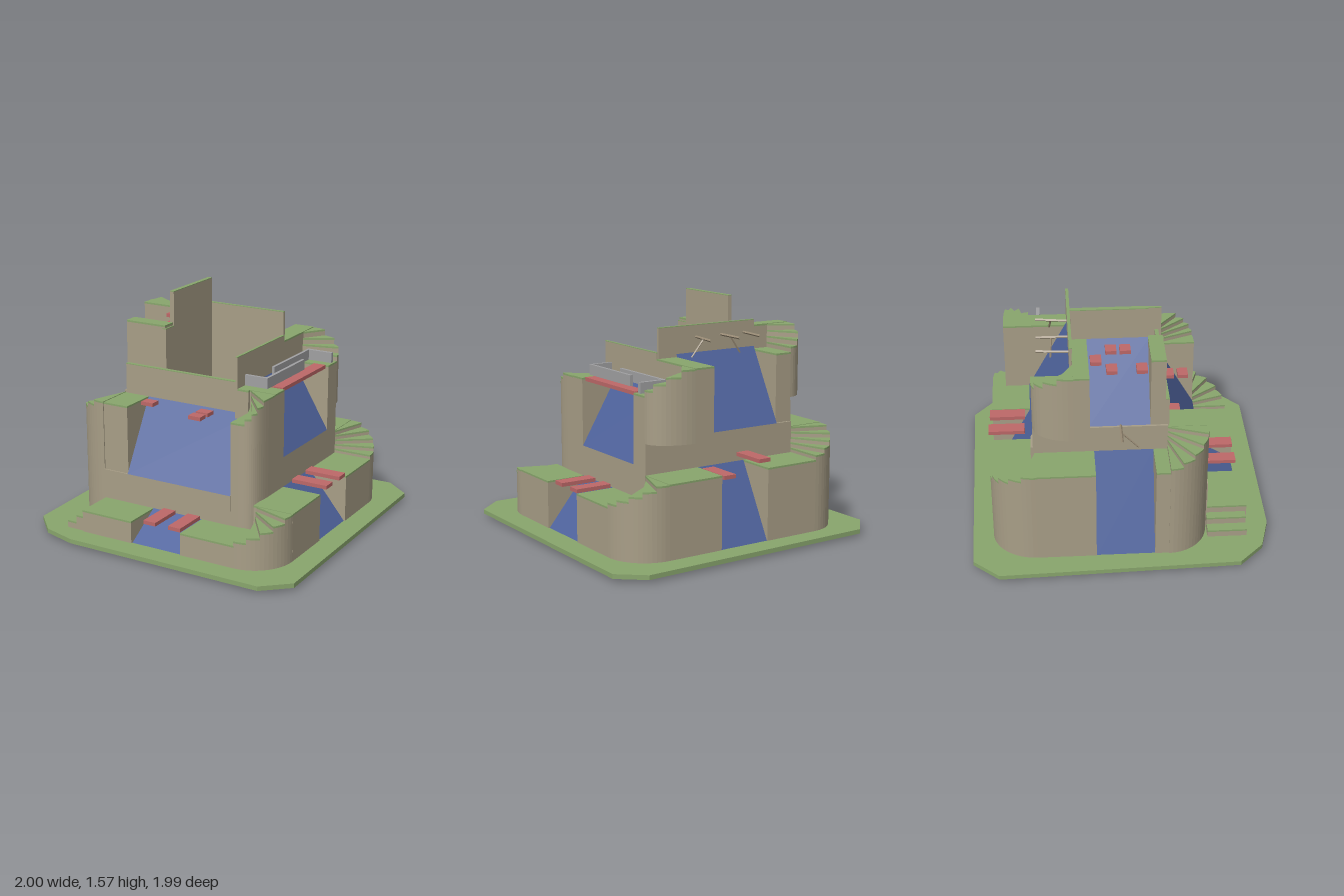
import * as THREE from 'three';

export function createModel() {
  const root = new THREE.Group();
  const mat = (color, side = THREE.FrontSide) => new THREE.MeshStandardMaterial({ color, side, flatShading: true });
  const stone = mat(0xa89e87, THREE.DoubleSide);
  const grass = mat(0x89a66d, THREE.DoubleSide);
  const blue = mat(0x4f639c);
  const red = mat(0xbd6868);
  const grey = mat(0xa0a0a2);
  const wood = mat(0x988a74);

  const add = (name, geo, material) => {
    const m = new THREE.Mesh(geo, material);
    m.name = name;
    root.add(m);
    return m;
  };
  const quads = (list) => {
    const v = [];
    for (const [a, b, c, d] of list) v.push(...a, ...b, ...c, ...a, ...c, ...d);
    const g = new THREE.BufferGeometry();
    g.setAttribute('position', new THREE.Float32BufferAttribute(v, 3));
    g.computeVertexNormals();
    return g;
  };
  // Box given by its limits
  const box = (name, material, x0, x1, y0, y1, z0, z1) => {
    const m = add(name, new THREE.BoxGeometry(x1 - x0, y1 - y0, z1 - z0), material);
    m.position.set((x0 + x1) / 2, (y0 + y1) / 2, (z0 + z1) / 2);
  };
  // Flat slab with an outline in x, z
  const slab = (name, pts, top, thick, material, hole) => {
    const toV = (p) => new THREE.Vector2(p[0], p[1]);
    const s = new THREE.Shape(pts.map(toV));
    if (hole) s.holes.push(new THREE.Path(hole.map(toV)));
    const g = new THREE.ExtrudeGeometry(s, { depth: thick, bevelEnabled: false });
    add(name, g.rotateX(Math.PI / 2), material).position.y = top;
  };
  // Hollow stone block with a grass top
  const block = (name, pts, bottom, top) => {
    const t = top - 0.012;
    add(name + 'Walls', quads(pts.map((p, i) => {
      const q = pts[(i + 1) % pts.length];
      return [[p[0], bottom, p[1]], [q[0], bottom, q[1]], [q[0], t, q[1]], [p[0], t, p[1]]];
    })), stone);
    slab(name + 'Grass', pts, top, 0.012, grass);
    if (bottom > 0.5) slab(name + 'Underside', pts, bottom + 0.01, 0.01, stone);
  };
  const walk = (name, x0, x1, z0, z1, top, bottom = 0.03) =>
    block(name, [[x0, z0], [x1, z0], [x1, z1], [x0, z1]], bottom, top);
  // Winding corner stair made of wedges; a power below 1 squares off the corner
  const fan = (name, cx, cz, rx, rz, a0, y0, y1, bottom = 0.03, n = 5, power = 1) => {
    const bend = (v) => Math.sign(v) * Math.abs(v) ** power;
    for (let i = 0; i < n; i++) {
      const pts = [[cx, cz]];
      for (let k = 0; k <= 3; k++) {
        const a = a0 - ((i + k / 3) / n) * Math.PI / 2;
        pts.push([cx + rx * bend(Math.cos(a)), cz + rz * bend(Math.sin(a))]);
      }
      block(name, pts, bottom, y0 + (y1 - y0) * (i + 0.9) / n);
    }
  };
  const H = Math.PI / 2;

  // Ground plate, open beneath the tower
  slab('groundPlate',
    [[-0.85, -0.97], [0.82, -1], [0.99, -0.86], [1, 0.84], [0.83, 0.99], [-0.56, 0.985], [-0.79, 0.92], [-0.95, 0.76], [-1, -0.8]],
    0.05, 0.03, grass,
    [[-0.56, 0.83], [0.58, 0.83], [0.76, 0.75], [0.835, 0.57], [0.835, -0.57], [0.75, -0.75], [0.57, -0.83],
      [-0.57, -0.83], [-0.75, -0.75], [-0.82, -0.55], [-0.82, 0.3], [-0.75, 0.48], [-0.56, 0.56]]);

  // Floors under the lower blocks, open below the slopes
  for (const [m, x0, x1, y, z0, z1] of [
    [grass, -0.56, -0.18, 0, 0.57, 0.83], [grass, 0.19, 0.57, 0, 0.57, 0.83],
    [grey, 0.18, 0.57, 0, -0.83, -0.57], [grey, -0.56, -0.18, 0, -0.83, -0.57],
    [grey, -0.82, -0.57, 0.02, -0.55, -0.17], [grey, -0.82, -0.57, 0.02, 0.21, 0.3],
  ]) box('floor', m, x0, x1, y, y + 0.015, z0, z1);

  // Entry steps
  walk('entryStep', -0.69, -0.62, 0.57, 0.83, 0.1);
  walk('entryStep', -0.62, -0.56, 0.57, 0.83, 0.15);

  // Lower walkway, climbing around the tower
  walk('lowerFrontWalk', -0.56, -0.18, 0.565, 0.84, 0.2);
  walk('lowerFrontWalk', 0.19, 0.58, 0.565, 0.84, 0.2);
  fan('lowerFrontRightStair', 0.575, 0.565, 0.27, 0.275, H, 0.2, 0.37);
  walk('lowerRightWalk', 0.566, 0.845, 0.19, 0.57, 0.37);
  walk('lowerRightWalk', 0.566, 0.845, -0.57, -0.19, 0.37);
  fan('lowerBackRightStair', 0.57, -0.57, 0.275, 0.27, 0, 0.37, 0.53);
  walk('lowerBackWalk', 0.18, 0.57, -0.84, -0.565, 0.53);
  walk('lowerBackWalk', -0.57, -0.18, -0.84, -0.565, 0.53);
  fan('lowerBackLeftStair', -0.57, -0.55, 0.265, 0.29, -H, 0.53, 0.7);
  walk('lowerLeftWalk', -0.835, -0.56, -0.55, -0.17, 0.7);
  walk('lowerLeftWalk', -0.835, -0.56, 0.21, 0.3, 0.7);
  fan('lowerFrontLeftStair', -0.57, 0.3, 0.27, 0.265, Math.PI, 0.7, 0.87);

  // Upper body walls below the slopes
  box('upperBodyWall', stone, -0.57, 0.4, 0.02, 0.4, 0.56, 0.575);
  box('upperBodyWall', stone, 0.56, 0.575, 0.02, 0.575, -0.57, 0.31);
  box('upperBodyWall', stone, -0.57, 0.57, 0.02, 0.74, -0.575, -0.56);
  box('upperBodyWall', stone, -0.575, -0.56, 0.02, 0.88, -0.56, 0.3);

  // Upper walkway
  walk('upperFrontWalk', -0.565, -0.38, 0.29, 0.565, 0.865);
  fan('upperFrontRightStair', 0.4, 0.31, 0.175, 0.262, H, 0.86, 1.03, 0.03, 5, 0.5);
  walk('upperFrontRightCorner', 0.31, 0.39, 0.29, 0.33, 1.03, 0.83);
  walk('upperRightWalk', 0.31, 0.575, 0.19, 0.31, 1.03);
  walk('upperRightWalk', 0.31, 0.575, -0.57, -0.44, 1.03);
  fan('upperBackRightStair', 0.3, -0.57, 0.275, 0.165, 0, 1.03, 1.2, 0.73, 4);
  walk('upperBackWalk', 0.17, 0.31, -0.735, -0.3, 1.2, 0.73);
  walk('upperBackWalk', -0.57, -0.45, -0.56, -0.3, 1.2, 0.7);
  fan('upperBackLeftStair', -0.57, -0.3, 0.17, 0.26, -H, 1.2, 1.36, 0.9, 4);
  walk('upperLeftWalk', -0.74, -0.28, -0.3, -0.2, 1.36, 0.9);
  walk('upperLeftWalk', -0.56, -0.26, 0.19, 0.285, 1.36, 0.86);

  // Grass-topped walls of the open central shaft, each a different height
  for (const [x0, x1, top, z0, z1] of [
    [-0.555, 0.31, 1.07, 0.285, 0.31], [0.295, 0.312, 1.24, -0.3, 0.33], [-0.45, 0.305, 1.4, -0.315, -0.295],
    [-0.28, -0.25, 1.57, -0.295, 0.19], [-0.28, -0.25, 1.34, 0.19, 0.29],
  ]) {
    box('shaftWall', stone, x0, x1, 0.02, top - 0.005, z0, z1);
    box('shaftWallGrass', grass, x0, x1, top - 0.005, top, z0, z1);
  }

  // Blue slopes: outer low edge to inner high edge
  const slopeZ = (x0, x1, y0, z0, y1, z1) =>
    add('slope', quads([[[x0, y0, z0], [x1, y0, z0], [x1, y1, z1], [x0, y1, z1]]]), blue);
  const slopeX = (z0, z1, y0, x0, y1, x1) =>
    add('slope', quads([[[x0, y0, z1], [x0, y0, z0], [x1, y1, z0], [x1, y1, z1]]]), blue);
  slopeZ(-0.18, 0.19, 0.04, 0.84, 0.2, 0.575);
  slopeX(-0.19, 0.19, 0.04, 0.845, 0.37, 0.575);
  slopeZ(0.18, -0.18, 0.04, -0.84, 0.53, -0.575);
  slopeX(0.21, -0.17, 0.04, -0.835, 0.7, -0.575);
  slopeZ(-0.38, 0.4, 0.4, 0.575, 0.865, 0.31);
  slopeX(-0.44, 0.19, 0.575, 0.575, 1.02, 0.312);
  slopeZ(0.17, -0.45, 0.74, -0.575, 1.22, -0.315);
  slopeX(0.2, -0.2, 0.88, -0.56, 1.36, -0.28);

  // Red stepping platforms: x, z, width, depth, bottom
  for (const [x, z, w, d, y] of [
    [-0.045, 0.71, 0.09, 0.24, 0.2], [0.14, 0.71, 0.09, 0.24, 0.2],
    [0.715, -0.14, 0.25, 0.09, 0.37], [0.715, 0.05, 0.25, 0.09, 0.37],
    [-0.14, -0.735, 0.09, 0.24, 0.575], [0.13, -0.735, 0.09, 0.24, 0.505],
    [-0.335, 0.365, 0.09, 0.07, 0.83], [0.087, 0.365, 0.09, 0.07, 0.83], [0.087, 0.46, 0.09, 0.07, 0.83],
    [-0.46, -0.15, 0.09, 0.07, 1.3], [-0.46, -0.05, 0.09, 0.07, 1.23], [-0.335, -0.05, 0.09, 0.07, 1.3],
    [-0.335, 0.04, 0.09, 0.07, 1.3], [-0.46, 0.14, 0.09, 0.07, 1.23],
    [0.515, -0.125, 0.085, 0.61, 1.01],
  ]) box('platform', red, x - w / 2, x + w / 2, y, y + 0.025, z - d / 2, z + d / 2);

  // Grey railings on the right slope
  box('railing', grey, 0.38, 0.4, 1.035, 1.105, -0.51, 0);
  box('railing', grey, 0.38, 0.57, 1.035, 1.105, -0.515, -0.49);
  box('railing', grey, 0.465, 0.485, 1.035, 1.105, -0.26, 0.25);
  box('railing', grey, 0.32, 0.485, 1.035, 1.105, 0.23, 0.25);

  // Slender poles with short braces
  const pole = (a, b, r = 0.009) => {
    const curve = new THREE.LineCurve3(new THREE.Vector3(...a), new THREE.Vector3(...b));
    add('pole', new THREE.TubeGeometry(curve, 1, r, 4), wood);
  };
  for (const [x, lean] of [[-0.355, 0.01], [-0.18, 0], [0.03, 0.015]]) {
    pole([x - lean, 1.32, -0.3], [x + lean, 1.32, -0.52]);
  }
  pole([-0.18, 1.32, -0.42], [-0.25, 1.21, -0.43], 0.006);
  pole([0.03, 1.32, -0.42], [0.13, 1.21, -0.43], 0.006);
  pole([-0.76, 0.89, 0], [-0.57, 0.89, 0]);
  pole([-0.65, 0.89, 0], [-0.66, 0.78, 0.11], 0.006);

  return root;
}
